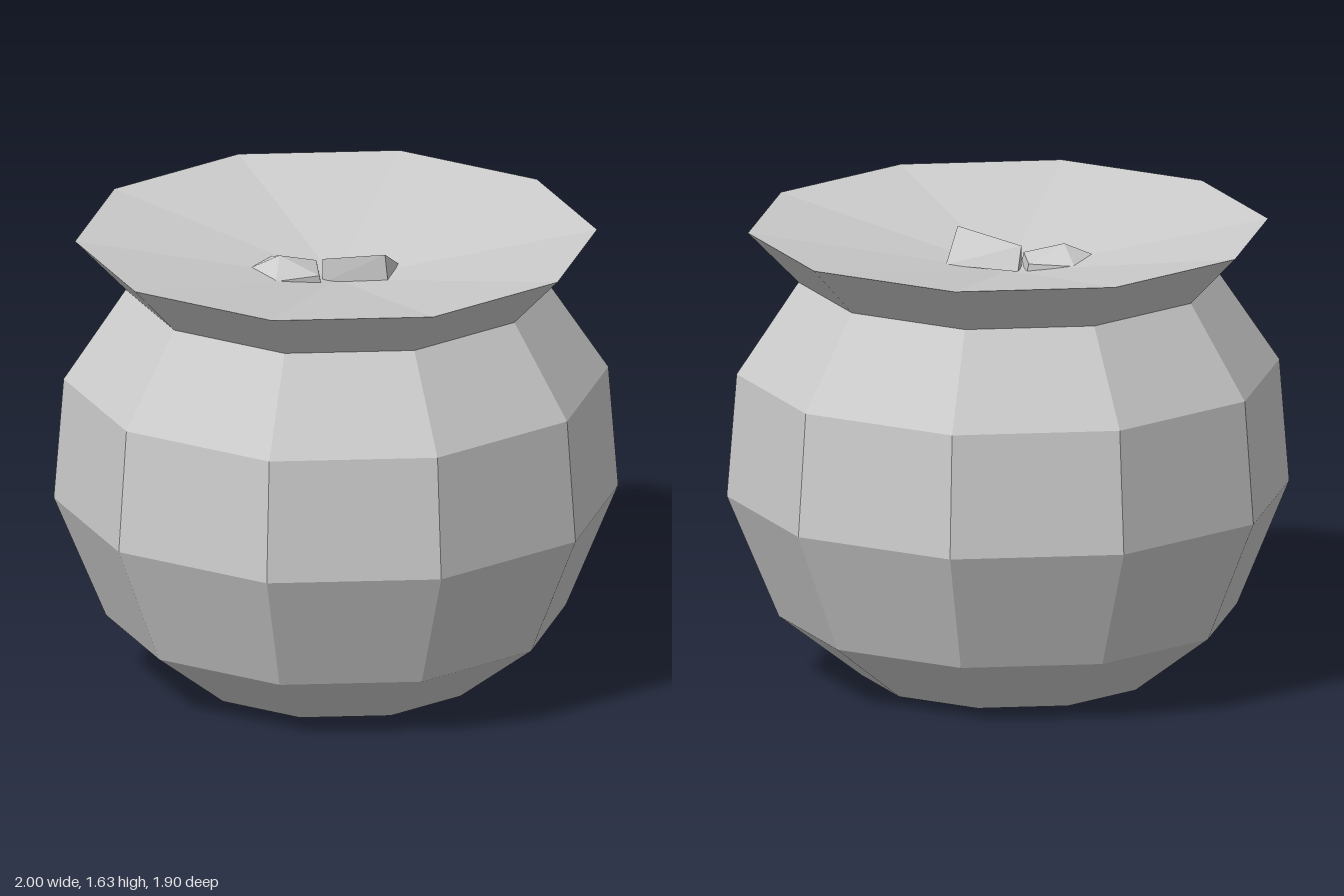
import * as THREE from 'three';
import { ConvexGeometry } from 'three/addons/geometries/ConvexGeometry.js';

const SIDES = 10;

// Faceted lathe with a corner on the +x axis
function facetedLathe(profile) {
  const points = profile.map(([r, y]) => new THREE.Vector2(r, y));
  const geometry = new THREE.LatheGeometry(points, SIDES, Math.PI / 2).toNonIndexed();
  geometry.computeVertexNormals();
  return geometry;
}

function hull(corners) {
  return new ConvexGeometry(corners.map((c) => new THREE.Vector3(...c)));
}

// Corners of a level five-sided ring, one corner pointing to -x
function ring(cx, y, radius) {
  return Array.from({ length: 5 }, (_, i) => {
    const a = Math.PI + (i * Math.PI * 2) / 5;
    return [cx + radius * Math.cos(a), y, radius * Math.sin(a)];
  });
}

export function createModel() {
  const model = new THREE.Group();
  model.name = 'pot';
  const grey = new THREE.MeshStandardMaterial({ color: 0xcccccc, flatShading: true });
  grey.name = 'grey';

  const add = (name, geometry) => {
    const mesh = new THREE.Mesh(geometry, grey);
    mesh.name = name;
    model.add(mesh);
  };

  // Round belly with a flat base
  add('body', facetedLathe([
    [0, 0], [0.52, 0], [0.815, 0.225], [1, 0.67], [0.965, 1.115], [0.745, 1.445],
  ]));

  // Flared rim and the shallow dished top inside it
  add('rim', facetedLathe([[0.745, 1.445], [0.925, 1.63]]));
  add('dishedTop', facetedLathe([[0.925, 1.63], [0, 1.465]]));

  // Five-sided knob lying in the dish
  add('knob', hull([[-0.2, 1.56, 0], ...ring(-0.178, 1.51, 0.14), ...ring(-0.165, 1.45, 0.14)]));

  // Tapered wedge beside the knob, wide end towards +x
  add('wedge', hull([
    [-0.05, 1.55, 0.02], [-0.03, 1.474, -0.05], [-0.05, 1.46, 0.02],
    [0.225, 1.504, -0.04], [0.165, 1.6, 0.13], [0.175, 1.497, 0.125],
  ]));

  return model;
}
